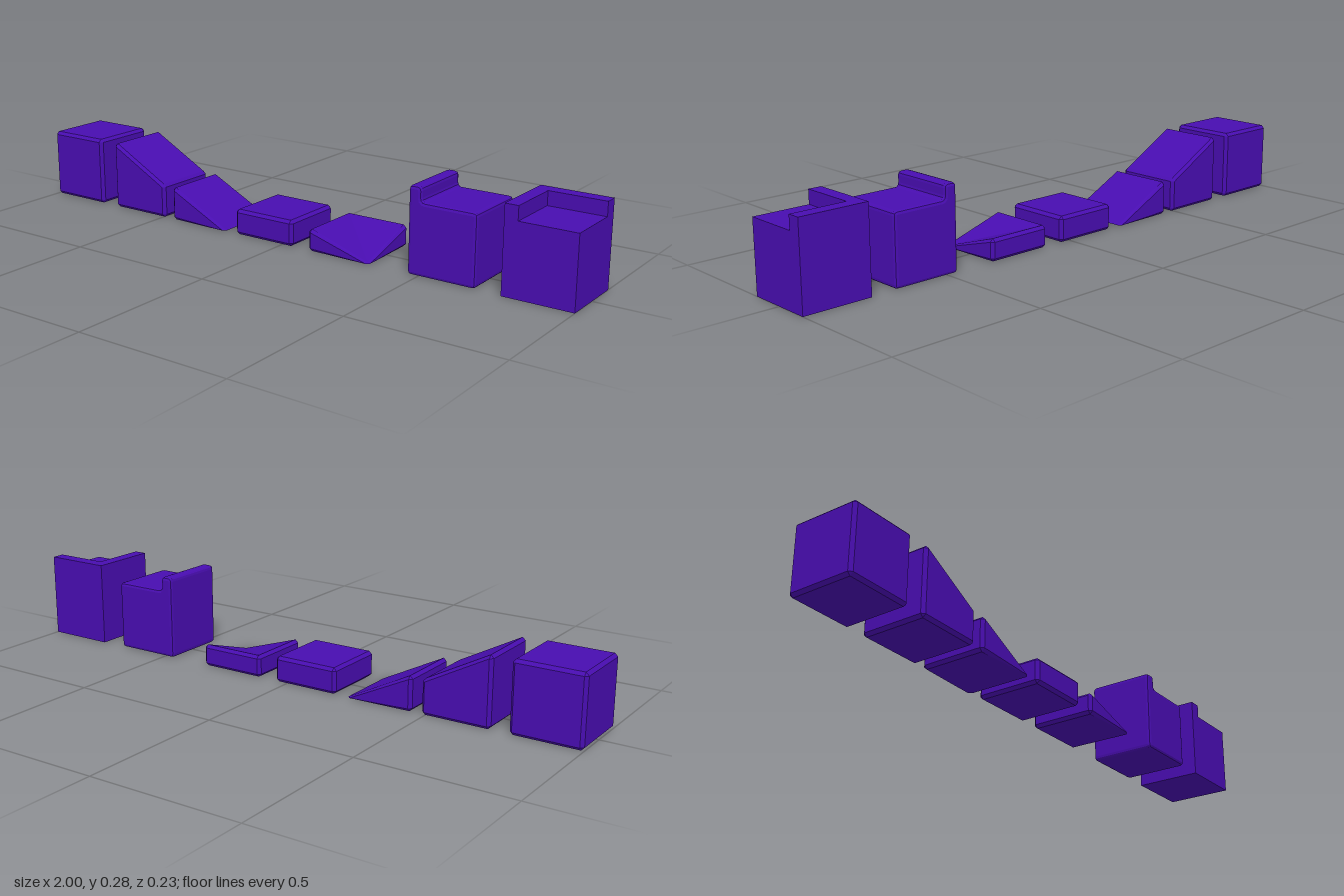
import * as THREE from 'three';
import { ConvexGeometry } from 'three/addons/geometries/ConvexGeometry.js';

const HALF = 0.113;  // half the footprint of a tile
const B = 0.01;      // chamfer width
const material = new THREE.MeshStandardMaterial({ color: 0x480db0, flatShading: true });

// Chamfer points of one vertical corner: sx, sz are the outward signs, h its height.
function cornerPoints(sx, sz, h) {
  const pts = [];
  const side = Math.min(B, h / 2);
  const out = HALF, inn = HALF - B;
  for (const [cap, wall] of [[0, side], [h, h - side]]) {
    pts.push(
      new THREE.Vector3(sx * inn, cap, sz * inn),
      new THREE.Vector3(sx * out, wall, sz * inn),
      new THREE.Vector3(sx * inn, wall, sz * out),
    );
  }
  return pts;
}

// Convex chamfered block from a list of [sx, sz, height] corners.
function chamferedBlock(corners) {
  return new ConvexGeometry(corners.flatMap((c) => cornerPoints(...c)));
}

// Block whose height runs from hl on the -x side to hr on the +x side.
function ramp(hl, hr) {
  return chamferedBlock([[-1, -1, hl], [-1, 1, hl], [1, -1, hr], [1, 1, hr]]);
}

// Closed outline with every corner rounded by r.
function roundedOutline(points, r) {
  const shape = new THREE.Shape();
  const p = points.map(([x, y]) => new THREE.Vector2(x, y));
  p.forEach((c, i) => {
    const prev = p[(i + p.length - 1) % p.length], next = p[(i + 1) % p.length];
    const a = c.clone().add(prev.clone().sub(c).setLength(r));
    const b = c.clone().add(next.clone().sub(c).setLength(r));
    if (i === 0) shape.moveTo(a.x, a.y);
    else shape.lineTo(a.x, a.y);
    shape.quadraticCurveTo(c.x, c.y, b.x, b.y);
  });
  shape.closePath();
  return shape;
}

export function createModel() {
  const model = new THREE.Group();

  function add(name, x, ...geometries) {
    const group = new THREE.Group();
    group.name = name;
    group.position.x = x;
    for (const g of geometries) group.add(new THREE.Mesh(g, material));
    model.add(group);
  }

  // Plain blocks and ramps
  add('fullBlock', -0.887, ramp(0.228, 0.228));
  add('upperRamp', -0.602, ramp(0.225, 0.115));
  add('lowerRamp', -0.342, ramp(0.112, 0.004));
  add('lowSlab', -0.072, ramp(0.085, 0.085));

  // Slab with one corner sunk to the ground, folded along the diagonal
  const h = 0.072, low = 0.004;
  add('sunkenCornerSlab', 0.216,
    chamferedBlock([[-1, -1, h], [-1, 1, h], [1, 1, low]]),
    chamferedBlock([[-1, -1, h], [1, -1, h], [1, 1, low]]));

  // Block with a rail along its -x edge
  const profile = roundedOutline([
    [-HALF, 0], [HALF, 0], [HALF, 0.228], [-0.071, 0.228], [-0.071, 0.275], [-HALF, 0.275],
  ], 0.013);
  const edgeBlock = new THREE.ExtrudeGeometry(profile, {
    depth: 2 * (HALF - B), curveSegments: 3, bevelEnabled: true,
    bevelThickness: B, bevelSize: B, bevelOffset: -B, bevelSegments: 2,
  });
  edgeBlock.translate(0, 0, -(HALF - B));
  add('edgeRailBlock', 0.577, edgeBlock);

  // Sharp-edged block with an L-shaped rail along its back and -x edges
  const base = new THREE.BoxGeometry(2 * HALF, 0.23, 2 * HALF).translate(0, 0.115, 0);
  const t = 0.043;
  const corner = new THREE.Shape([
    [-HALF, -HALF], [-HALF + t, -HALF], [-HALF + t, HALF - t],
    [HALF, HALF - t], [HALF, HALF], [-HALF, HALF],
  ].map(([x, y]) => new THREE.Vector2(x, y)));
  const rail = new THREE.ExtrudeGeometry(corner, { depth: 0.045, bevelEnabled: false });
  rail.rotateX(-Math.PI / 2).translate(0, 0.23, 0);
  add('cornerRailBlock', 0.887, base, rail);

  return model;
}
